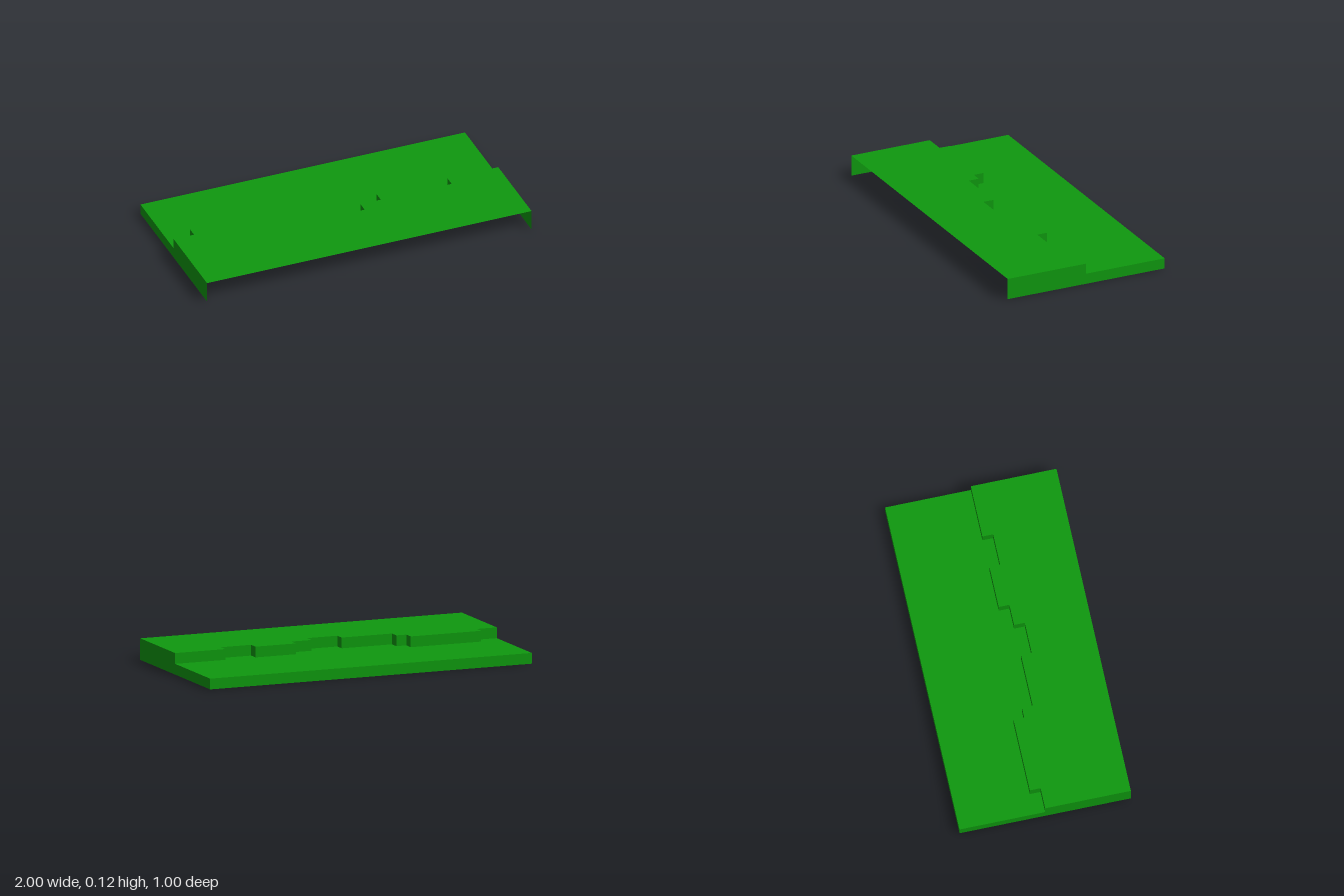
import * as THREE from 'three';

const LOW = 0.0625, HIGH = 0.125, HALF_X = 1, HALF_Z = 0.5;

// Ledge line as [x, z], from left to right
const ledge = [
  [-1, 0], [-0.875, 0], [-0.875, -0.0625], [-0.4375, -0.0625], [-0.4375, 0],
  [-0.375, 0], [-0.375, 0.0625], [-0.0625, 0.0625], [-0.0625, 0.125],
  [0.125, 0.125], [0.125, 0.0625], [0.25, 0.0625], [0.25, 0],
  [0.5, 0], [0.5, 0.0625], [0.6875, 0.0625], [0.6875, 0], [1, 0],
];

const flat = (points) =>
  new THREE.ShapeGeometry(new THREE.Shape(points.map(([a, b]) => new THREE.Vector2(a, b))));

// Horizontal sheet facing up, outlined by [x, z] points
const deck = (points, y) =>
  flat(points.map(([x, z]) => [x, -z])).rotateX(-Math.PI / 2).translate(0, y, 0);

// Upright sheet between two [x, z] points, facing the back when a is left of b
function wall(a, b, y0, y1) {
  const dx = b[0] - a[0], dz = b[1] - a[1];
  return new THREE.PlaneGeometry(Math.hypot(dx, dz), y1 - y0)
    .rotateY(Math.atan2(dz, -dx))
    .translate((a[0] + b[0]) / 2, (y0 + y1) / 2, (a[1] + b[1]) / 2);
}

export function createModel() {
  const group = new THREE.Group();
  const green = new THREE.MeshStandardMaterial({ color: 0x0f990f, side: THREE.DoubleSide });
  green.name = 'grass green';

  const add = (name, geometry) => {
    const mesh = new THREE.Mesh(geometry, green);
    mesh.name = name;
    group.add(mesh);
  };

  // Two ground levels meeting at the ledge; underside and front stay open
  add('upperGround', deck([...ledge, [HALF_X, HALF_Z], [-HALF_X, HALF_Z]], HIGH));
  add('lowerGround', deck([...ledge, [HALF_X, -HALF_Z], [-HALF_X, -HALF_Z]], LOW));

  // Cliff faces along the ledge
  const cliff = new THREE.Group();
  cliff.name = 'cliff';
  for (let i = 0; i < ledge.length - 1; i++) {
    const face = new THREE.Mesh(wall(ledge[i], ledge[i + 1], LOW, HIGH), green);
    face.name = 'cliffFace';
    cliff.add(face);
  }
  group.add(cliff);

  // Back wall
  add('backWall', wall([-HALF_X, -HALF_Z], [HALF_X, -HALF_Z], 0, LOW));

  // Stepped side walls, each facing outwards
  const profile = [[-HALF_Z, 0], [HALF_Z, 0], [HALF_Z, HIGH], [0, HIGH], [0, LOW], [-HALF_Z, LOW]];
  for (const side of [-1, 1]) {
    add(side > 0 ? 'leftWall' : 'rightWall',
      flat(profile.map(([z, y]) => [-side * z, y])).rotateY(side * Math.PI / 2).translate(side * HALF_X, 0, 0));
  }
  return group;
}
